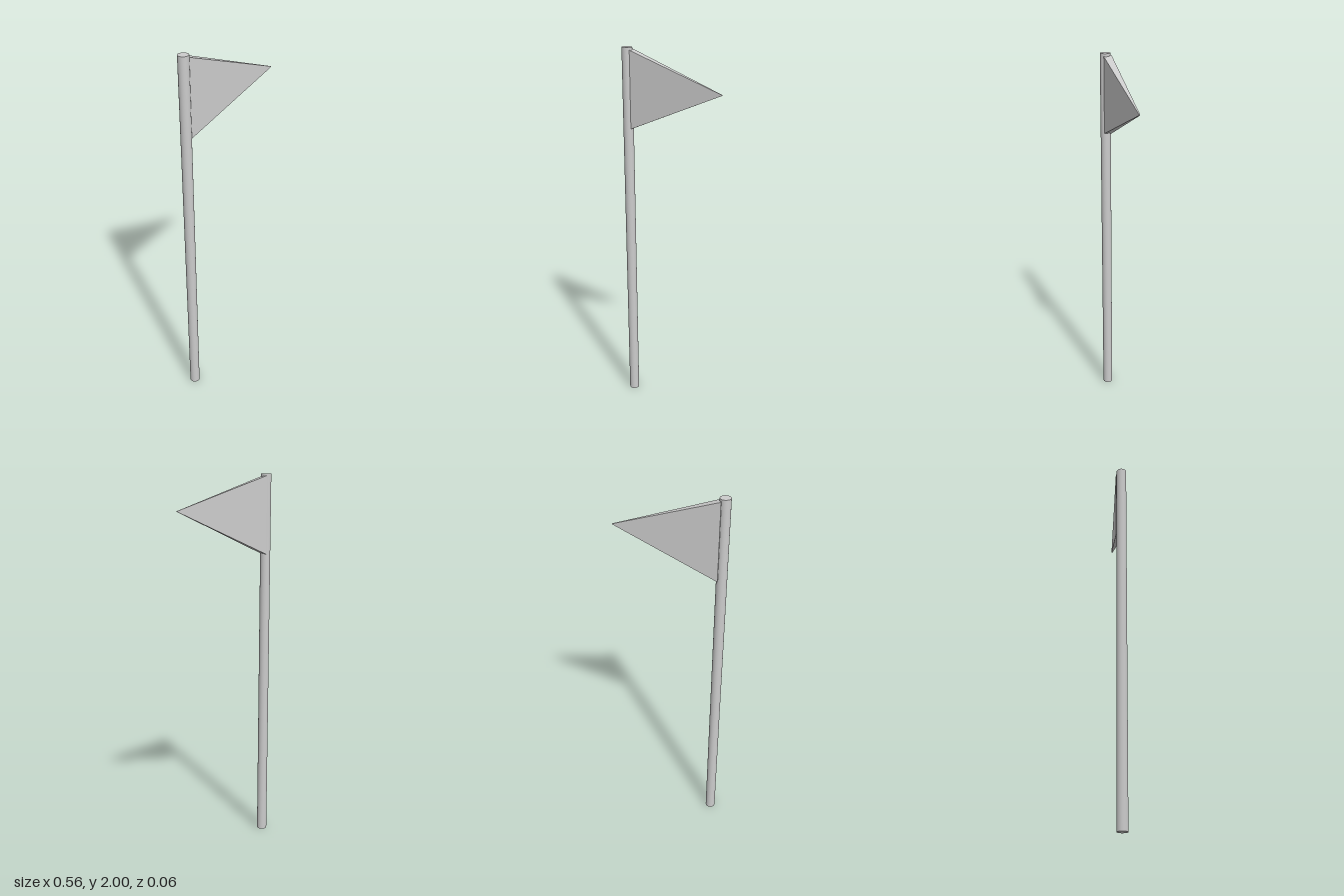
import * as THREE from 'three';

export function createModel() {
  const model = new THREE.Group();
  const material = new THREE.MeshStandardMaterial({ color: 0xcccccc });

  // Upright round pole
  const pole = new THREE.Mesh(new THREE.CylinderGeometry(0.027, 0.027, 2, 32), material);
  pole.name = 'pole';
  pole.position.set(-0.255, 1, 0.001);
  model.add(pole);

  // Pennant: a box whose outer end shrinks to a small blunt tip
  const root = { x: -0.241, y: 1.787, z: -0.007, height: 0.405, depth: 0.044 };
  const tip = { x: 0.281, y: 1.81, z: -0.012, height: 0.003, depth: 0.005 };
  const shape = new THREE.BoxGeometry(1, 1, 1);
  const p = shape.attributes.position;
  for (let i = 0; i < p.count; i++) {
    const end = p.getX(i) < 0 ? root : tip;
    p.setXYZ(i, end.x, end.y + p.getY(i) * end.height, end.z + p.getZ(i) * end.depth);
  }
  shape.computeVertexNormals();
  const pennant = new THREE.Mesh(shape, material.clone());
  pennant.material.flatShading = true;
  pennant.name = 'pennant';
  model.add(pennant);

  return model;
}
